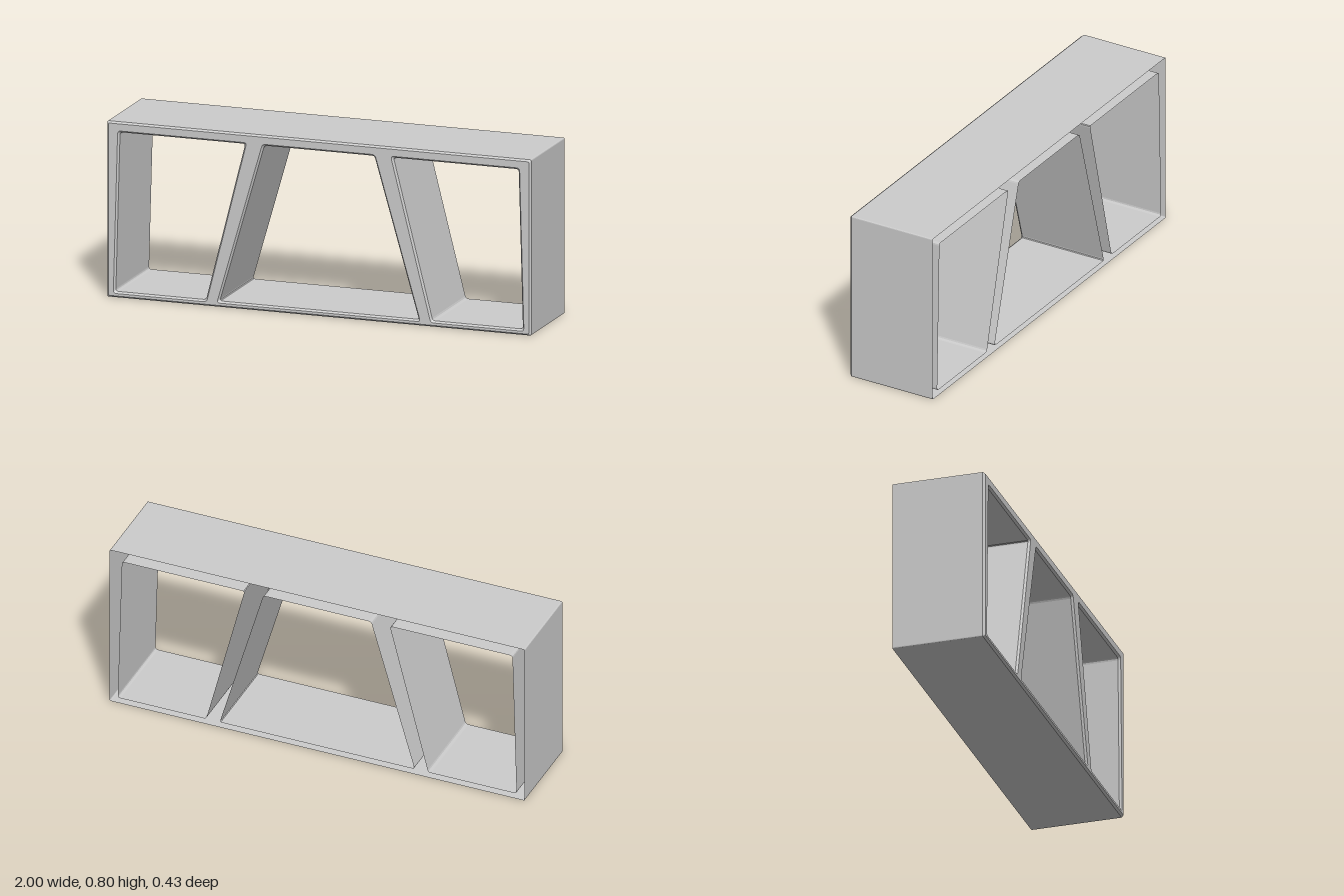
import * as THREE from 'three';

const BACK = -0.215, BEVEL = 0.205, FRONT = 0.215;

// Rounded convex outline (counter-clockwise corners), moved outward by offset
function outline(corners, offset, radius, steps = 3) {
  const n = corners.length;
  const pts = corners.map(([x, y]) => new THREE.Vector2(x, y));
  const normal = (a, b) => new THREE.Vector2(b.y - a.y, a.x - b.x).normalize();
  const moved = pts.map((p, i) => {
    const n1 = normal(pts[(i + n - 1) % n], p);
    const n2 = normal(p, pts[(i + 1) % n]);
    const m = n1.clone().add(n2);
    return p.clone().addScaledVector(m, offset / (1 + n1.dot(n2)));
  });
  const loop = [];
  moved.forEach((p, i) => {
    const toward = (q) => p.clone().add(q.clone().sub(p).setLength(radius));
    const curve = new THREE.QuadraticBezierCurve(
      toward(moved[(i + n - 1) % n]), p, toward(moved[(i + 1) % n]));
    loop.push(...curve.getPoints(steps));
  });
  return loop;
}

// Wall surface through a series of [loop, z] sections
function wall(sections, inward) {
  const pos = [];
  for (let s = 0; s + 1 < sections.length; s++) {
    const [A, za] = sections[s], [B, zb] = sections[s + 1];
    for (let i = 0; i < A.length; i++) {
      const j = (i + 1) % A.length;
      const a = [A[i].x, A[i].y, za], b = [A[j].x, A[j].y, za];
      const c = [B[j].x, B[j].y, zb], d = [B[i].x, B[i].y, zb];
      const tris = inward ? [a, c, b, a, d, c] : [a, b, c, a, c, d];
      tris.forEach((v) => pos.push(...v));
    }
  }
  const g = new THREE.BufferGeometry();
  g.setAttribute('position', new THREE.Float32BufferAttribute(pos, 3));
  g.computeVertexNormals();
  return g;
}

export function createModel() {
  const group = new THREE.Group();
  const material = new THREE.MeshStandardMaterial({ color: 0xcccccc, side: THREE.DoubleSide });
  const add = (geometry, name) => {
    const mesh = new THREE.Mesh(geometry, material);
    mesh.name = name;
    group.add(mesh);
  };

  // Outer casing, open at the back, with a bevelled front rim
  const frame = [[-1, 0], [1, 0], [1, 0.803], [-1, 0.803]];
  const outer = outline(frame, 0, 0.006);
  const rim = outline(frame, -0.008, 0.006);
  add(wall([[outer, BACK], [outer, BEVEL], [rim, FRONT]], false), 'outerCasing');

  // Three openings: a trapezoid in the middle and a mirrored pair
  const right = [[0.535, 0.027], [0.961, 0.027], [0.941, 0.755], [0.35, 0.755]];
  const left = right.map(([x, y]) => [-x, y]).reverse();
  const middle = [[-0.47, 0.027], [0.47, 0.027], [0.26, 0.755], [-0.26, 0.755]];

  const face = new THREE.Shape(rim);
  Object.entries({ right, middle, left }).forEach(([name, corners]) => {
    const inner = outline(corners, 0, 0.012);
    const mouth = outline(corners, 0.008, 0.014);
    face.holes.push(new THREE.Path(mouth));
    // Thin tunnel running from the bevelled mouth to the open back
    add(wall([[inner, BACK], [inner, BEVEL], [mouth, FRONT]], true), name + 'Tunnel');
  });

  // Flat front panel around the openings
  add(new THREE.ShapeGeometry(face).translate(0, 0, FRONT), 'frontPanel');
  return group;
}
